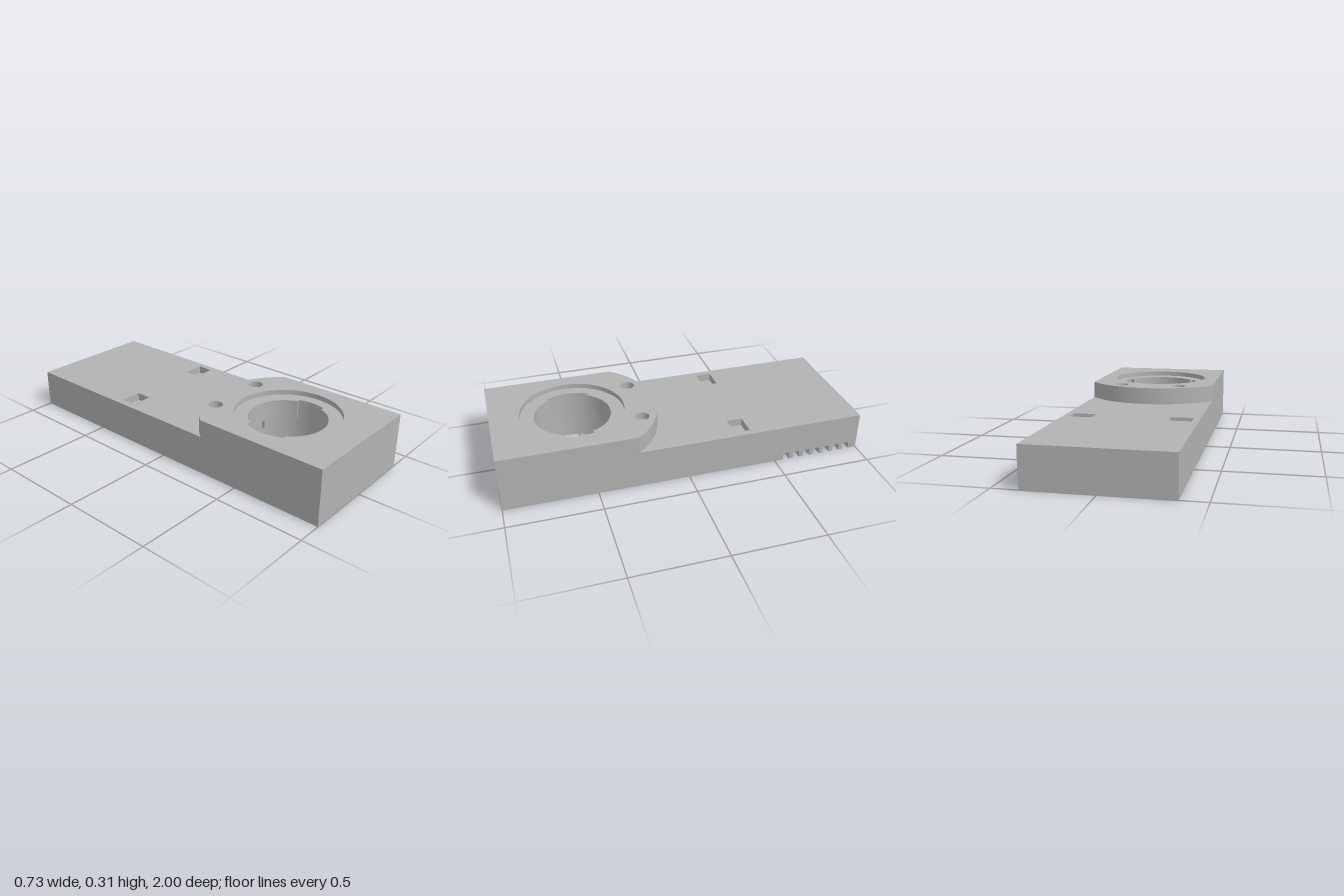
import * as THREE from 'three';
import { toCreasedNormals } from 'three/addons/utils/BufferGeometryUtils.js';

const W = 0.365;          // half width
const T = 0.063;          // rim wall thickness
const CZ = 0.556;         // z of the socket centre
const BORE = 0.225, THROAT = 0.2075, RING = 0.291, RECESS = 0.283;
// Levels from the bottom up
const TOOTH = 0.04, CEILING = 0.076, STOP = 0.12, FLANGE = 0.17;
const DECK = 0.213, PIN = 0.265, SEAT = 0.28, TOP = 0.307;

// Plan shapes use x and z as their two axes
function rect(path, x0, z0, x1, z1) {
  path.moveTo(x0, z0);
  path.lineTo(x1, z0);
  path.lineTo(x1, z1);
  path.lineTo(x0, z1);
  path.closePath();
  return path;
}

function circle(path, x, z, r) {
  path.absarc(x, z, r, 0, Math.PI * 2, false);
  return path;
}

// Throat opening with a narrow and a wide bayonet notch
function keyhole() {
  const p = new THREE.Path(), a = 0.36, b = 0.55, PI = Math.PI;
  p.absarc(0, CZ, THROAT, a, PI - b, false);
  p.absarc(0, CZ, BORE, PI - b, PI + b, false);
  p.absarc(0, CZ, THROAT, PI + b, 2 * PI - a, false);
  p.absarc(0, CZ, BORE, -a, a, false);
  p.closePath();
  return p;
}

// Front block outline with its rounded back edge
function raisedOutline() {
  const s = new THREE.Shape(), r = 0.461, a = Math.acos(W / r);
  s.moveTo(-W, 1);
  s.lineTo(W, 1);
  s.absarc(0, CZ, r, -a, -Math.PI + a, true);
  s.closePath();
  return s;
}

export function createModel() {
  const model = new THREE.Group();
  const grey = new THREE.MeshStandardMaterial({ color: 0xb2b2b2 });
  grey.name = 'plain grey';

  // Extrudes a plan shape between two heights
  function layer(name, shape, y0, y1, holes = []) {
    shape.holes.push(...holes);
    let g = new THREE.ExtrudeGeometry(shape, { depth: y1 - y0, bevelEnabled: false, curveSegments: 40 });
    g.rotateX(Math.PI / 2);
    g.translate(0, y1, 0);
    g = toCreasedNormals(g, 0.5);
    const mesh = new THREE.Mesh(g, grey);
    mesh.name = name;
    model.add(mesh);
  }
  const slab = () => rect(new THREE.Shape(), -W, -1, W, 1);

  // Lower rim, open along the toothed stretch of the left wall
  const first = -0.548, pitch = 0.0613, gap = 0.037, count = 7;
  const last = first - pitch * (count - 1) - gap;
  const rim = new THREE.Shape();
  [[W, first], [W, 1], [-W, 1], [-W, -1], [W, -1], [W, last], [W - T, last], [W - T, -1 + T],
    [-W + T, -1 + T], [-W + T, 1 - T], [W - T, 1 - T], [W - T, first]]
    .forEach(([x, z], i) => (i ? rim.lineTo(x, z) : rim.moveTo(x, z)));
  rim.closePath();
  layer('lowerRim', rim, 0, TOOTH);

  // Teeth between the vent notches
  for (let i = 0; i < count - 1; i++) {
    const z = first - pitch * i - gap;
    layer('ventTooth', rect(new THREE.Shape(), W - T, z - (pitch - gap), W, z), 0, TOOTH);
  }

  // Continuous rim above the teeth
  layer('upperRim', slab(), TOOTH, CEILING, [rect(new THREE.Path(), -W + T, -1 + T, W - T, 1 - T)]);

  // Socket ring hanging in the underside cavity
  layer('socketRing', circle(new THREE.Shape(), 0, CZ, RING), 0, CEILING,
    [circle(new THREE.Path(), 0, CZ, BORE)]);

  // Main body with the wide bore, then the deck with the throat and two pockets
  layer('body', slab(), CEILING, FLANGE, [circle(new THREE.Path(), 0, CZ, BORE)]);
  layer('deck', slab(), FLANGE, DECK, [
    keyhole(),
    ...[-1, 1].map((s) => rect(new THREE.Path(), s * 0.267 - 0.061, -0.35, s * 0.267 + 0.061, -0.262)),
  ]);

  // Bayonet stops under the throat flange
  for (const start of [Math.PI - 1.25, -1.25]) {
    const stop = new THREE.Shape();
    stop.absarc(0, CZ, BORE, start, start + 0.69, false);
    stop.absarc(0, CZ, THROAT, start + 0.69, start, true);
    stop.closePath();
    layer('bayonetStop', stop, STOP, FLANGE);
  }

  // Raised front block: solid base, pin holes, then the recessed seat
  const pins = () => [-1, 1].map((s) => circle(new THREE.Path(), s * 0.172, 0.21, 0.039));
  layer('raisedBase', raisedOutline(), DECK, PIN, [keyhole()]);
  layer('raisedMiddle', raisedOutline(), PIN, SEAT, [keyhole(), ...pins()]);
  layer('raisedTop', raisedOutline(), SEAT, TOP, [circle(new THREE.Path(), 0, CZ, RECESS), ...pins()]);

  return model;
}
